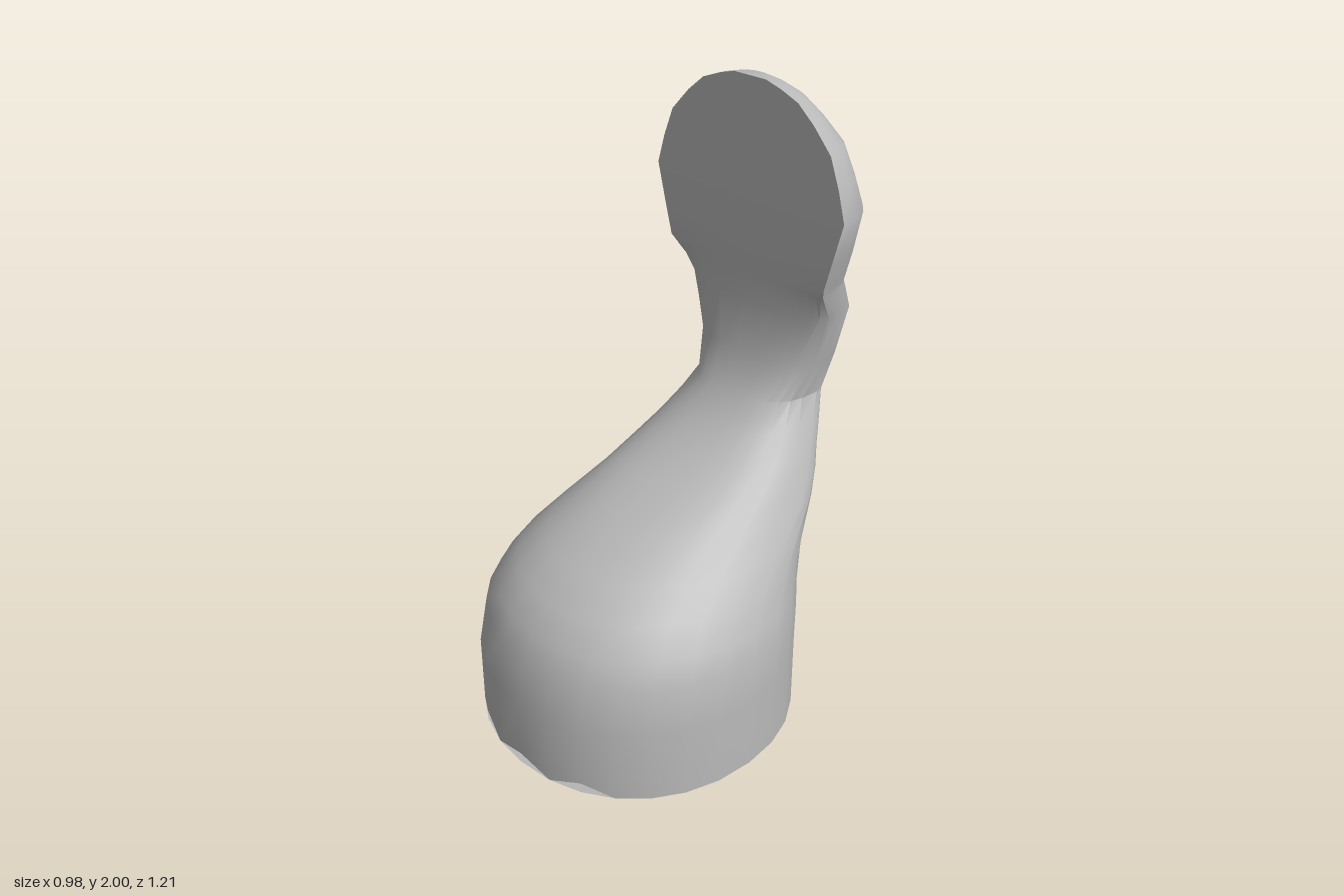
import * as THREE from 'three';
import { toCreasedNormals } from 'three/addons/utils/BufferGeometryUtils.js';

const SEG = 28;

// [height, half width, front z, back z, z of widest point, squareness]
const SECTIONS = [
  [0.06, 0.49, 0.6, -0.38, 0.1, 0.94],
  [0.3, 0.487, 0.6, -0.38, 0.1, 0.94],
  [0.45, 0.48, 0.565, -0.38, 0.08, 0.94],
  [0.52, 0.455, 0.53, -0.395, 0.05, 0.94],
  [0.6, 0.415, 0.465, -0.415, -0.03, 0.92],
  [0.67, 0.375, 0.36, -0.43, -0.14, 0.9],
  [0.75, 0.33, 0.2, -0.45, -0.27, 0.88],
  [0.82, 0.30, 0.03, -0.475, -0.33, 0.86],
  [0.88, 0.272, -0.1, -0.495, -0.37, 0.85],
  [0.95, 0.24, -0.2, -0.52, -0.42, 0.82],
  [1.03, 0.205, -0.275, -0.545, -0.47, 0.75],
  [1.15, 0.232, -0.335, -0.58, -0.475, 0.7],
  [1.32, 0.278, -0.345, -0.59, -0.46, 0.7],
  [1.41, 0.295, -0.345, -0.598, -0.36, 0.85],
  [1.44, 0.308, -0.343, -0.6, -0.343, 0.85],
  [1.53, 0.332, -0.342, -0.605, -0.342, 0.85],
  [1.66, 0.366, -0.342, -0.59, -0.342, 0.85],
  [1.75, 0.34, -0.342, -0.565, -0.342, 0.87],
  [1.84, 0.305, -0.342, -0.535, -0.342, 0.88],
  [1.91, 0.24, -0.342, -0.49, -0.342, 0.9],
  [1.96, 0.18, -0.342, -0.45, -0.342, 0.9],
  [1.985, 0.115, -0.342, -0.42, -0.342, 0.9],
  [2.0, 0.06, -0.342, -0.39, -0.342, 0.9],
];

const power = (v, e) => Math.sign(v) * Math.abs(v) ** e;

function ring([y, w, front, back, mid, e]) {
  return Array.from({ length: SEG }, (_, i) => {
    const t = (i / SEG) * Math.PI * 2;
    const s = power(Math.sin(t), e);
    return [w * power(Math.cos(t), e), y, mid + s * (s > 0 ? front - mid : mid - back)];
  });
}

// Skins a stack of rings from bottom to top, with optional end caps
function loft(rings, capTop, capBottom, crease) {
  const pos = [];
  const tri = (a, b, c) => pos.push(...a, ...b, ...c);
  const centre = (r) => [0, 1, 2].map((k) => r.reduce((sum, p) => sum + p[k], 0) / SEG);
  const last = rings[rings.length - 1];
  for (let i = 0; i < SEG; i++) {
    const j = (i + 1) % SEG;
    for (let k = 0; k < rings.length - 1; k++) {
      const a = rings[k], b = rings[k + 1];
      tri(a[i], b[i], a[j]);
      tri(a[j], b[i], b[j]);
    }
    if (capTop) tri(centre(last), last[j], last[i]);
    if (capBottom) tri(centre(rings[0]), rings[0][i], rings[0][j]);
  }
  const geometry = new THREE.BufferGeometry();
  geometry.setAttribute('position', new THREE.Float32BufferAttribute(pos, 3));
  return toCreasedNormals(geometry, crease);
}

export function createModel() {
  const group = new THREE.Group();
  group.name = 'flatFacedBust';
  const grey = new THREE.MeshStandardMaterial({ color: 0xb8b8b8, side: THREE.DoubleSide });
  grey.name = 'stoneGrey';

  // Body, neck and flat-fronted head in one skin, with a chipped front rim
  const rings = SECTIONS.map(ring);
  rings[0].forEach((p, i) => {
    if (p[2] > 0.45 && i % 2) p[1] = 0.095;
  });
  const body = new THREE.Mesh(loft(rings, true, false, 0.65), grey);
  body.name = 'bodyAndHead';
  group.add(body);

  // Shallow faceted underside
  const rim = ring(SECTIONS[0]);
  const foot = ring([0, 0.1, 0.2, -0.06, 0.07, 1]);
  const base = new THREE.Mesh(loft([foot, rim], false, true, 0.02), grey);
  base.name = 'underside';
  group.add(base);
  return group;
}
